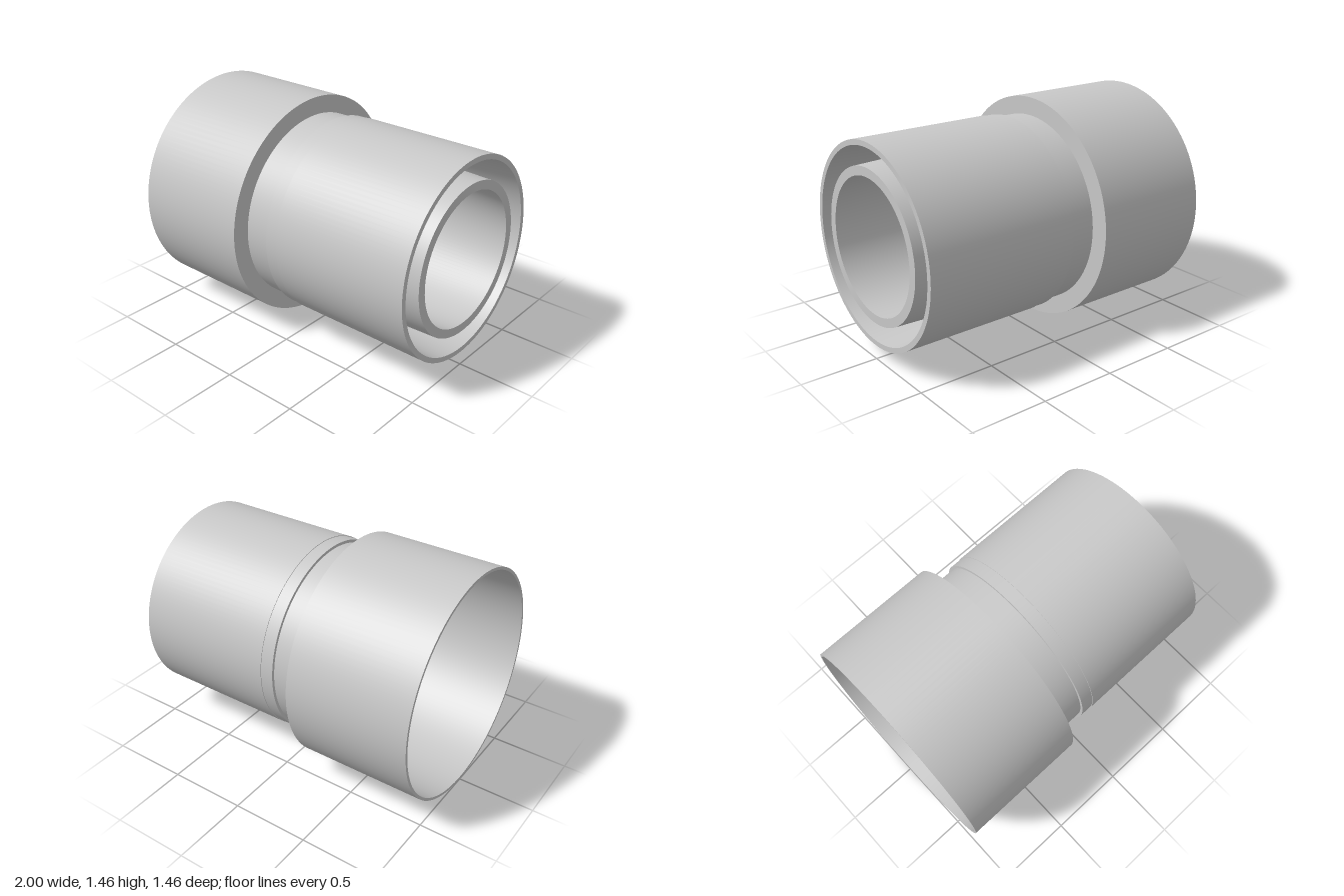
import * as THREE from 'three';

const AXIS_Y = 0.73;

// Revolves a profile of [x, radius] points about the x axis, with a sharp edge at each point.
// Outer walls run towards +x, inner walls towards -x.
function turned(name, profile, material) {
  const group = new THREE.Group();
  group.name = name;
  for (let i = 0; i < profile.length - 1; i++) {
    const points = [profile[i], profile[i + 1]].map(([x, r]) => new THREE.Vector2(r, x));
    const geometry = new THREE.LatheGeometry(points, 128);
    geometry.rotateZ(-Math.PI / 2);
    const mesh = new THREE.Mesh(geometry, material);
    mesh.name = name + 'Face' + (i + 1);
    group.add(mesh);
  }
  return group;
}

export function createModel() {
  const model = new THREE.Group();
  model.name = 'pipeAdapter';
  const plastic = new THREE.MeshStandardMaterial({ color: 0xc8c8c8 });
  plastic.name = 'lightGreyPlastic';

  const fitting = new THREE.Group();
  fitting.name = 'fitting';
  fitting.position.y = AXIS_Y;
  model.add(fitting);

  // Wide socket with a thin wall and a shoulder at the bottom
  fitting.add(turned('socket', [
    [-0.32, 0.515], [-0.32, 0.70], [-1, 0.712], [-1, 0.73], [-0.19, 0.73], [-0.19, 0.615],
  ], plastic));

  // Recessed neck and the low step beside it
  fitting.add(turned('neck', [
    [-0.19, 0.615], [-0.015, 0.615], [-0.015, 0.634], [0.07, 0.634], [0.07, 0.638],
  ], plastic));

  // Outer barrel with a tapered inside
  fitting.add(turned('barrel', [
    [0.07, 0.638], [1, 0.638], [1, 0.605], [0.1, 0.557], [0.1, 0.515],
  ], plastic));

  // Inner tube, tapering to its tip, with the through bore
  fitting.add(turned('innerTube', [
    [0.1, 0.515], [1, 0.485], [1, 0.428], [-0.32, 0.515],
  ], plastic));

  return model;
}
